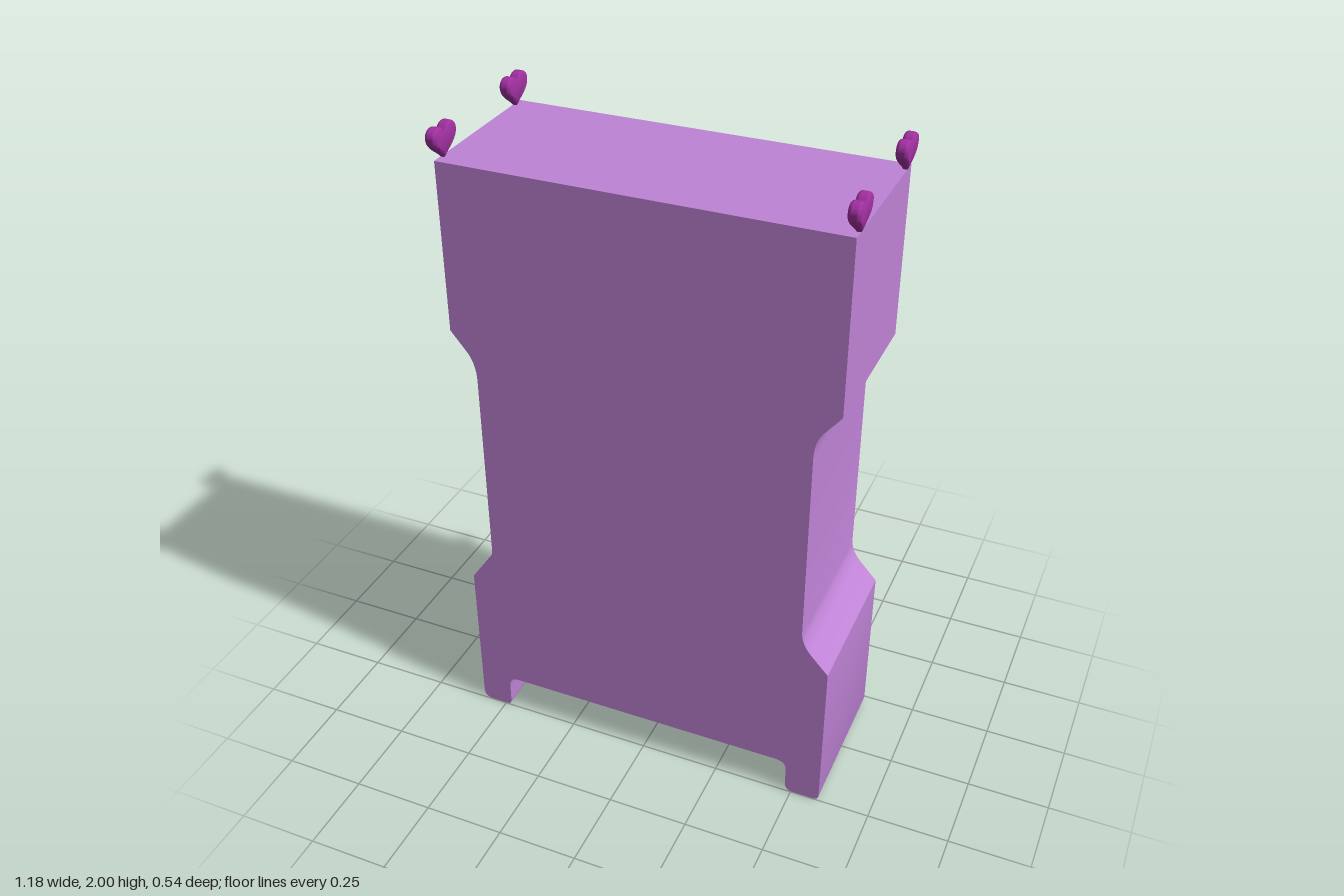
import * as THREE from 'three';
import { toCreasedNormals } from 'three/addons/utils/BufferGeometryUtils.js';

const purple = new THREE.MeshStandardMaterial({ color: 0xbf83d6 });
const magenta = new THREE.MeshStandardMaterial({ color: 0xa030a0 });

function addMesh(group, name, geometry, material) {
  const mesh = new THREE.Mesh(geometry, material);
  mesh.name = name;
  group.add(mesh);
  return mesh;
}

// Wardrobe outline: wide top and base, pinched waist, two rounded feet
function cabinetGeometry(back, front) {
  const s = new THREE.Shape();
  s.moveTo(-0.58, 1.91);
  s.lineTo(-0.58, 1.4);
  s.lineTo(-0.535, 1.345);
  s.quadraticCurveTo(-0.505, 1.31, -0.505, 1.25);
  s.lineTo(-0.505, 0.65);
  s.quadraticCurveTo(-0.505, 0.6, -0.53, 0.57);
  s.lineTo(-0.58, 0.515);
  s.lineTo(-0.58, 0.03);
  s.quadraticCurveTo(-0.58, 0, -0.55, 0);
  s.lineTo(-0.5, 0);
  s.quadraticCurveTo(-0.48, 0, -0.48, 0.02);
  s.lineTo(-0.48, 0.085);
  s.quadraticCurveTo(-0.48, 0.12, -0.445, 0.12);
  s.lineTo(0.445, 0.12);
  s.quadraticCurveTo(0.48, 0.12, 0.48, 0.085);
  s.lineTo(0.48, 0.03);
  s.quadraticCurveTo(0.48, 0, 0.505, 0);
  s.lineTo(0.57, 0);
  s.quadraticCurveTo(0.59, 0, 0.59, 0.02);
  s.lineTo(0.59, 0.515);
  s.lineTo(0.535, 0.575);
  s.quadraticCurveTo(0.505, 0.61, 0.505, 0.65);
  s.lineTo(0.505, 1.25);
  s.quadraticCurveTo(0.505, 1.31, 0.53, 1.34);
  s.lineTo(0.578, 1.4);
  s.lineTo(0.578, 1.91);
  s.closePath();
  const g = new THREE.ExtrudeGeometry(s, { depth: front - back, bevelEnabled: false, curveSegments: 8 });
  g.translate(0, 0, back);
  return toCreasedNormals(g, 0.5);
}

// Puffy heart, tip at the origin, thinning towards the tip
function heartGeometry() {
  const s = new THREE.Shape();
  s.moveTo(0, 0);
  s.bezierCurveTo(0.012, 0.02, 0.057, 0.038, 0.057, 0.068);
  s.bezierCurveTo(0.057, 0.1, 0.012, 0.105, 0, 0.075);
  s.bezierCurveTo(-0.012, 0.105, -0.057, 0.1, -0.057, 0.068);
  s.bezierCurveTo(-0.057, 0.038, -0.012, 0.02, 0, 0);
  const g = new THREE.ExtrudeGeometry(s, {
    depth: 0.014, curveSegments: 12,
    bevelThickness: 0.01, bevelSize: 0.009, bevelOffset: -0.009, bevelSegments: 4,
  });
  g.translate(0, 0, -0.007);
  const p = g.attributes.position;
  for (let i = 0; i < p.count; i++) {
    const t = THREE.MathUtils.clamp(p.getY(i) / 0.05, 0, 1);
    p.setZ(i, p.getZ(i) * (0.4 + 0.6 * Math.sin(t * Math.PI / 2)));
  }
  return toCreasedNormals(g, 0.8);
}

export function createModel() {
  const model = new THREE.Group();
  model.name = 'wardrobe';
  addMesh(model, 'cabinet', cabinetGeometry(-0.228, 0.248), purple);

  // Thin doors; one stands very slightly ajar at the middle
  for (const side of [-1, 1]) {
    const door = addMesh(model, side > 0 ? 'leftDoor' : 'rightDoor',
      new THREE.BoxGeometry(0.45, 1.67, 0.012), purple);
    door.position.set(side * 0.225, 1.015, side > 0 ? -0.2275 : -0.2255);
    door.rotation.y = side > 0 ? -0.008 : 0;
  }

  // Heart finials on the four top corners
  const heart = heartGeometry();
  for (const x of [-0.575, 0.572]) {
    for (const z of [-0.19, 0.212]) {
      const finial = addMesh(model, 'heartFinial', heart, magenta);
      finial.position.set(x, 1.906, z);
      finial.rotation.y = Math.PI / 2;
    }
  }

  // Heart handles on the doors
  for (const [x, z, turn] of [[-0.112, -0.25, 0], [0.128, -0.253, -0.03]]) {
    const handle = addMesh(model, 'heartHandle', heart, magenta);
    handle.position.set(x, 0.992, z);
    handle.rotation.y = turn;
  }
  return model;
}
